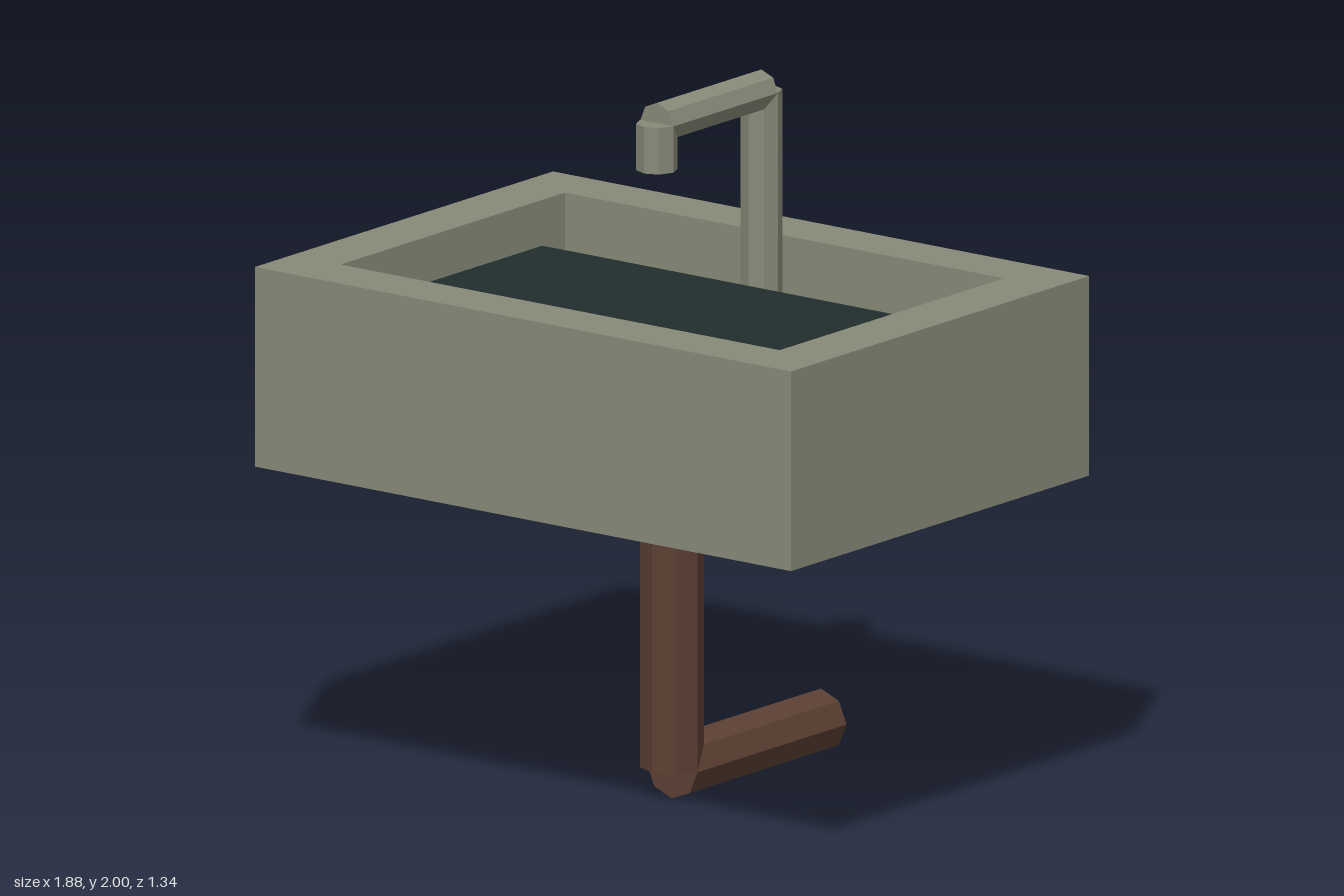
import * as THREE from 'three';

export function createModel() {
  const sink = new THREE.Group();
  sink.name = 'sink';

  const material = (name, color) => {
    const m = new THREE.MeshStandardMaterial({ color, flatShading: true });
    m.name = name;
    return m;
  };
  const stone = material('greyGreenStone', 0x888a78);
  const rust = material('brownPipe', 0x5c4033);
  const water = material('darkWater', 0x212d2e);

  const add = (name, geometry, mat) => {
    const mesh = new THREE.Mesh(geometry, mat);
    mesh.name = name;
    sink.add(mesh);
    return mesh;
  };

  // Eight-sided pipe between two points in the x = 0 plane
  const pipe = (name, radius, [y0, z0], [y1, z1], mat) => {
    const a = new THREE.Vector3(0, y0, z0);
    const b = new THREE.Vector3(0, y1, z1);
    const dir = b.clone().sub(a);
    const mesh = add(name, new THREE.CylinderGeometry(radius, radius, dir.length(), 8), mat);
    mesh.position.copy(a).add(b).multiplyScalar(0.5);
    mesh.quaternion.setFromUnitVectors(new THREE.Vector3(0, 1, 0), dir.normalize());
  };

  const rectangle = (target, x, z0, z1) => {
    target.moveTo(-x, -z1);
    target.lineTo(x, -z1);
    target.lineTo(x, -z0);
    target.lineTo(-x, -z0);
    target.closePath();
    return target;
  };

  // Basin walls with a rectangular opening
  const bottom = 0.935, rim = 1.505, floor = 1.34;
  const outline = rectangle(new THREE.Shape(), 0.94, -0.67, 0.67);
  const solid = outline.clone();
  outline.holes.push(rectangle(new THREE.Path(), 0.77, -0.505, 0.503));
  const extrude = (shape, depth) =>
    new THREE.ExtrudeGeometry(shape, { depth, bevelEnabled: false }).rotateX(-Math.PI / 2);
  add('basinWalls', extrude(outline, rim - floor), stone).position.y = floor;

  // Solid lower part, whose top is the basin floor
  add('basinBase', extrude(solid, floor - bottom), stone).position.y = bottom;

  // Water
  add('water', new THREE.BoxGeometry(1.44, 0.055, 0.84), water).position.set(0, 1.3675, 0.08);

  // Tap
  pipe('tapPost', 0.058, [floor, -0.402], [1.943, -0.402], stone);
  pipe('tapArm', 0.058, [1.942, -0.402], [1.942, 0.068], stone);
  pipe('tapSpout', 0.058, [1.81, 0.068], [1.943, 0.068], stone);

  // Drain
  pipe('drainDownpipe', 0.089, [0.092, 0], [bottom, 0], rust);
  pipe('drainOutlet', 0.089, [0.089, 0], [0.089, -0.67], rust);

  return sink;
}
